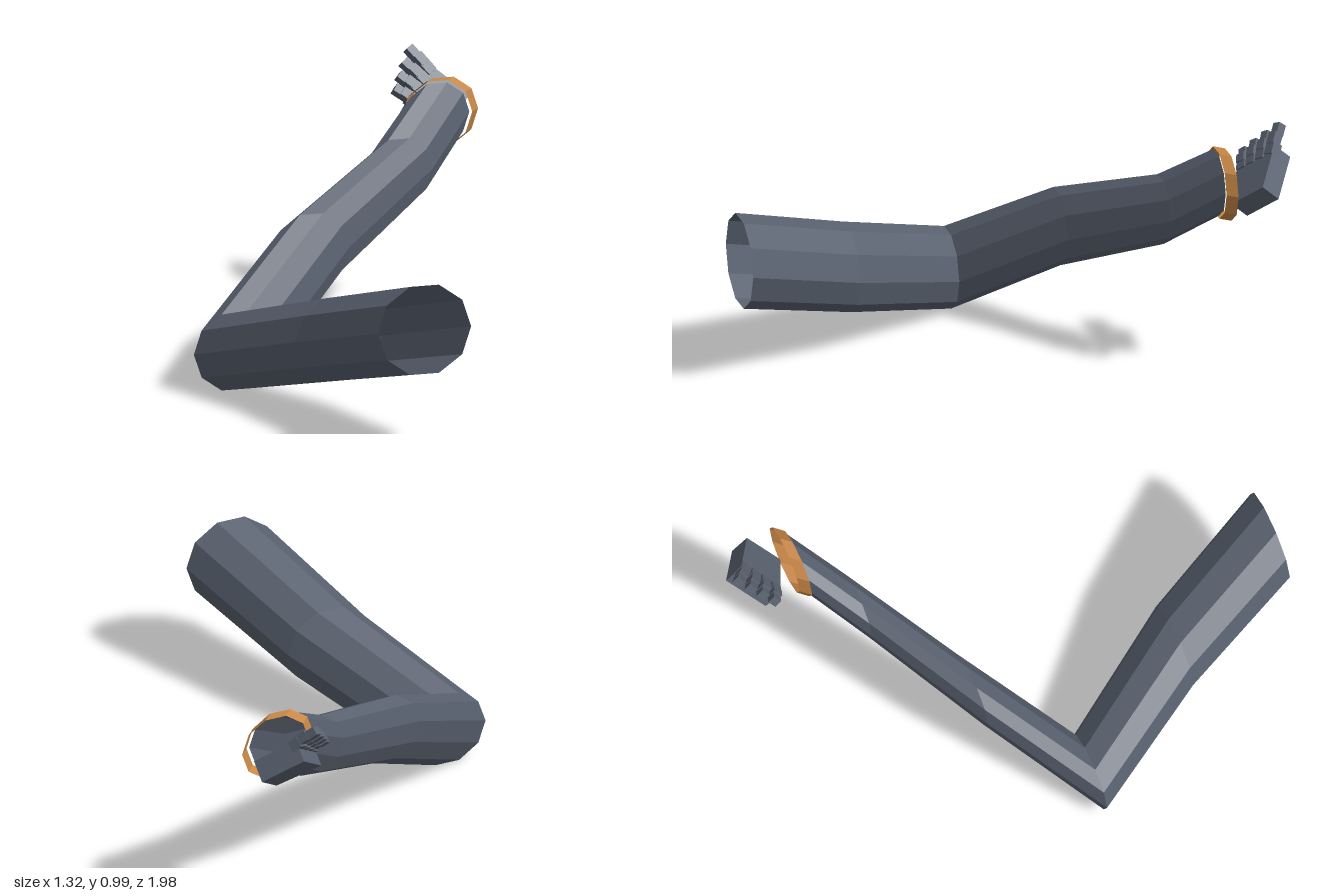
import * as THREE from 'three';

const SIDES = 10;

// Open ten-sided tube through sections [x, y, z, radius], each parallel to the XY plane
function sleeve(sections) {
  const pos = [], index = [];
  for (const [x, y, z, r] of sections) {
    for (let j = 0; j < SIDES; j++) {
      const a = (j / SIDES) * Math.PI * 2;
      pos.push(x + r * Math.cos(a), y + r * Math.sin(a), z);
    }
  }
  for (let i = 0; i < sections.length - 1; i++) {
    for (let j = 0; j < SIDES; j++) {
      const k = (j + 1) % SIDES;
      const a = i * SIDES + j, b = i * SIDES + k, c = a + SIDES, d = b + SIDES;
      index.push(a, c, b, b, c, d);
    }
  }
  const g = new THREE.BufferGeometry();
  g.setAttribute('position', new THREE.Float32BufferAttribute(pos, 3));
  g.setIndex(index);
  const flat = g.toNonIndexed();
  flat.computeVertexNormals();
  return flat;
}

export function createModel() {
  const model = new THREE.Group();
  model.name = 'bentArm';

  const slate = new THREE.MeshStandardMaterial({ color: 0x59616f, flatShading: true, side: THREE.DoubleSide });
  slate.name = 'slate';
  const copper = new THREE.MeshStandardMaterial({ color: 0xc88746, flatShading: true, side: THREE.DoubleSide });
  copper.name = 'copper';

  const add = (parent, name, geometry, material) => {
    const mesh = new THREE.Mesh(geometry, material);
    mesh.name = name;
    parent.add(mesh);
    return mesh;
  };

  // Upper arm and forearm meet in a shared elbow section
  const elbow = [-0.505, 0.153, 0.05, 0.155];
  add(model, 'upperArm', sleeve([
    [-0.03, 0.468, 1, 0.18],
    [-0.23, 0.313, 0.52, 0.17],
    elbow,
  ]), slate);
  add(model, 'forearm', sleeve([
    elbow,
    [-0.12, 0.43, -0.26, 0.147],
    [0.295, 0.625, -0.54, 0.131],
    [0.487, 0.788, -0.70, 0.125],
  ]), slate);

  // Loose bracelet, slanted along x
  add(model, 'bracelet', sleeve([
    [0.487, 0.787, -0.70, 0.136],
    [0.52, 0.787, -0.737, 0.136],
  ]), copper);

  // Hand: local x runs across the knuckles, y out of the back, -z to the fingertips
  const f = new THREE.Vector3(-0.8, 0.48, -0.36).normalize();
  const w = new THREE.Vector3(0.64, 0.54, -0.54);
  w.addScaledVector(f, -w.dot(f)).normalize();
  const n = new THREE.Vector3().crossVectors(w, f);
  const hand = new THREE.Group();
  hand.name = 'hand';
  hand.quaternion.setFromRotationMatrix(new THREE.Matrix4().makeBasis(w, n, f.clone().negate()));
  hand.position.set(0.55, 0.72, -0.74);
  model.add(hand);

  // Palm widens towards the knuckles
  const palm = new THREE.BoxGeometry(0.165, 0.085, 0.19);
  palm.translate(0.0825, -0.0425, -0.095);
  const p = palm.attributes.position;
  for (let i = 0; i < p.count; i++) {
    if (p.getZ(i) < -0.1) p.setX(i, p.getX(i) * 1.18);
  }
  palm.computeVertexNormals();
  add(hand, 'palm', palm, slate);

  // Four fingers of three stepped segments, longer and more splayed towards the index
  for (let i = 0; i < 4; i++) {
    const finger = new THREE.Group();
    finger.name = 'finger' + (i + 1);
    finger.position.set(0.026 + i * 0.048, -0.014, -0.165);
    finger.rotation.set(0.12, -0.1 * i, 0);
    const length = 0.029 + i * 0.004;
    for (let s = 0; s < 3; s++) {
      const size = 0.042 - s * 0.004;
      const part = add(finger, 'segment' + (s + 1), new THREE.BoxGeometry(size, size, length + 0.006), slate);
      part.position.set(0, s === 1 ? 0.006 : 0, -length * (s + 0.5));
    }
    hand.add(finger);
  }

  return model;
}
